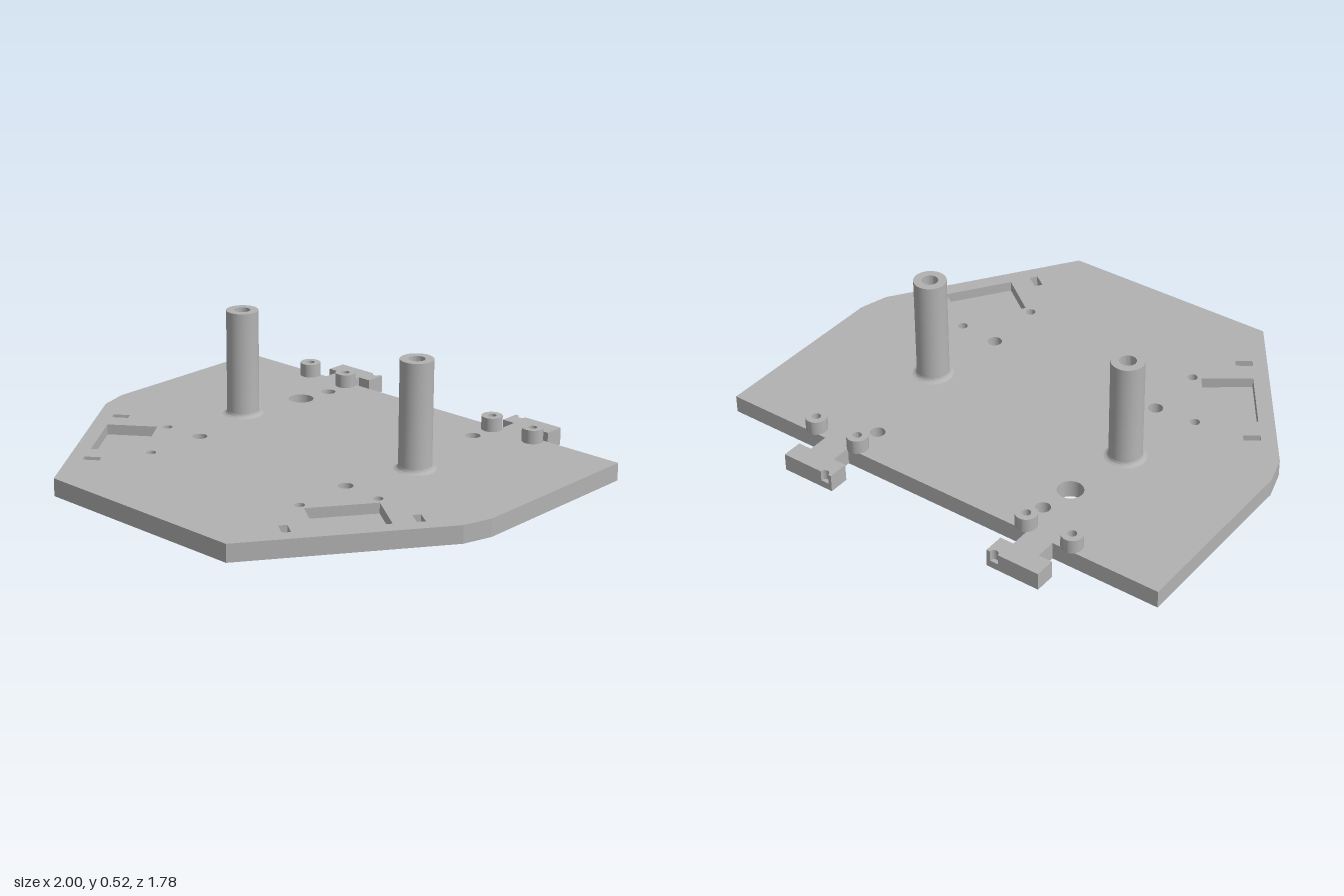
import * as THREE from 'three';
import { toCreasedNormals } from 'three/addons/utils/BufferGeometryUtils.js';

const TOP = 0.073; // plate thickness
const FLOOR = 0.03; // height of the pocket floors

const polygon = (points, Type) => new Type(points.map(([x, z]) => new THREE.Vector2(x, z)));

function circle(x, z, r) {
  return new THREE.Path().absarc(x, z, r, 0, Math.PI * 2, true);
}

// Rectangle of size w x d, turned by angle a in the plan
function rectangle(x, z, w, d, a) {
  const c = Math.cos(a), s = Math.sin(a);
  const corners = [[-1, -1], [-1, 1], [1, 1], [1, -1]];
  return polygon(corners.map(([i, j]) => {
    const u = i * w / 2, v = j * d / 2;
    return [x + u * c - v * s, z + u * s + v * c];
  }), THREE.Path);
}

// Plan of the plate with its two T-shaped tabs; shape y is model z
function plateOutline(notched) {
  const s = new THREE.Shape();
  s.moveTo(-1, -0.72);
  const tab = (cx, notchX) => {
    s.lineTo(cx - 0.057, -0.72);
    s.lineTo(cx - 0.057, -0.805);
    s.lineTo(cx - 0.115, -0.805);
    s.lineTo(cx - 0.115, -0.89);
    if (notched) s.absarc(notchX, -0.89, 0.018, Math.PI, 0, true);
    s.lineTo(cx + 0.115, -0.89);
    s.lineTo(cx + 0.115, -0.805);
    s.lineTo(cx + 0.057, -0.805);
    s.lineTo(cx + 0.057, -0.72);
  };
  tab(-0.485, -0.403);
  tab(0.48, 0.397);
  for (const [x, z] of [[1, -0.72], [1, 0.06], [0.965, 0.18], [0.465, 0.89],
    [-0.465, 0.89], [-0.965, 0.18], [-1, 0.06]]) s.lineTo(x, z);
  s.closePath();

  // Through holes and slots, mirrored left and right
  s.holes.push(circle(-0.418, -0.43, 0.052));
  for (const m of [-1, 1]) {
    s.holes.push(
      circle(m * 0.395, -0.574, 0.03), circle(m * 0.395, 0.185, 0.03),
      circle(m * 0.57, 0.198, 0.02), circle(m * 0.402, 0.445, 0.02),
      rectangle(m * 0.805, 0.24, 0.068, 0.034, m * 0.61),
      rectangle(m * 0.52, 0.648, 0.068, 0.034, m * 0.61));
  }
  return s;
}

// Extrudes a plan downwards from height y1 to y0
function slab(shape, y0, y1) {
  return new THREE.ExtrudeGeometry(shape, { depth: y1 - y0, bevelEnabled: false, curveSegments: 20 })
    .rotateX(Math.PI / 2).translate(0, y1, 0);
}

function turned(points) {
  const profile = points.map(([r, y]) => new THREE.Vector2(r, y));
  return toCreasedNormals(new THREE.LatheGeometry(profile, 40), 0.6);
}

export function createModel() {
  const model = new THREE.Group();
  const grey = new THREE.MeshStandardMaterial({ color: 0xb2b2b2 });
  grey.name = 'matte grey';

  const add = (name, geometry, x = 0, z = 0) => {
    const mesh = new THREE.Mesh(geometry, grey);
    mesh.name = name;
    mesh.position.set(x, 0, z);
    model.add(mesh);
  };

  // Upper layer: open pockets and notched tabs
  const upper = plateOutline(true);
  for (const m of [-1, 1]) {
    upper.holes.push(polygon([[m * 0.602, 0.225], [m * 0.77, 0.345],
      [m * 0.604, 0.58], [m * 0.436, 0.457]], THREE.Path));
  }
  add('plateUpper', slab(upper, FLOOR, TOP));

  // Lower layer: pocket floors, with two blind holes underneath
  const lower = plateOutline(false);
  lower.holes.push(circle(0.068, -0.32, 0.02), circle(-0.46, -0.328, 0.02));
  add('plateLower', slab(lower, 0, FLOOR));

  // Tall hollow posts with a flared foot
  const flare = [];
  for (let i = 0; i <= 6; i++) {
    const a = i / 6 * Math.PI / 2;
    flare.push([0.085 - 0.019 * Math.sin(a), TOP + 0.019 * (1 - Math.cos(a))]);
  }
  const post = turned([[0, TOP - 0.005], [0.085, TOP - 0.005], ...flare,
    [0.066, 0.517], [0.033, 0.517], [0.033, 0.12], [0, 0.12]]);
  add('rightPost', post, -0.468, -0.135);
  add('leftPost', post, 0.465, -0.135);

  // Short hollow bosses along the back edge
  const boss = turned([[0, TOP - 0.002], [0.043, TOP - 0.002],
    [0.043, 0.13], [0.018, 0.13], [0.018, 0.08], [0, 0.08]]);
  [-0.608, -0.403, 0.398, 0.604].forEach((x, i) => add('backBoss' + (i + 1), boss, x, -0.69));

  return model;
}
